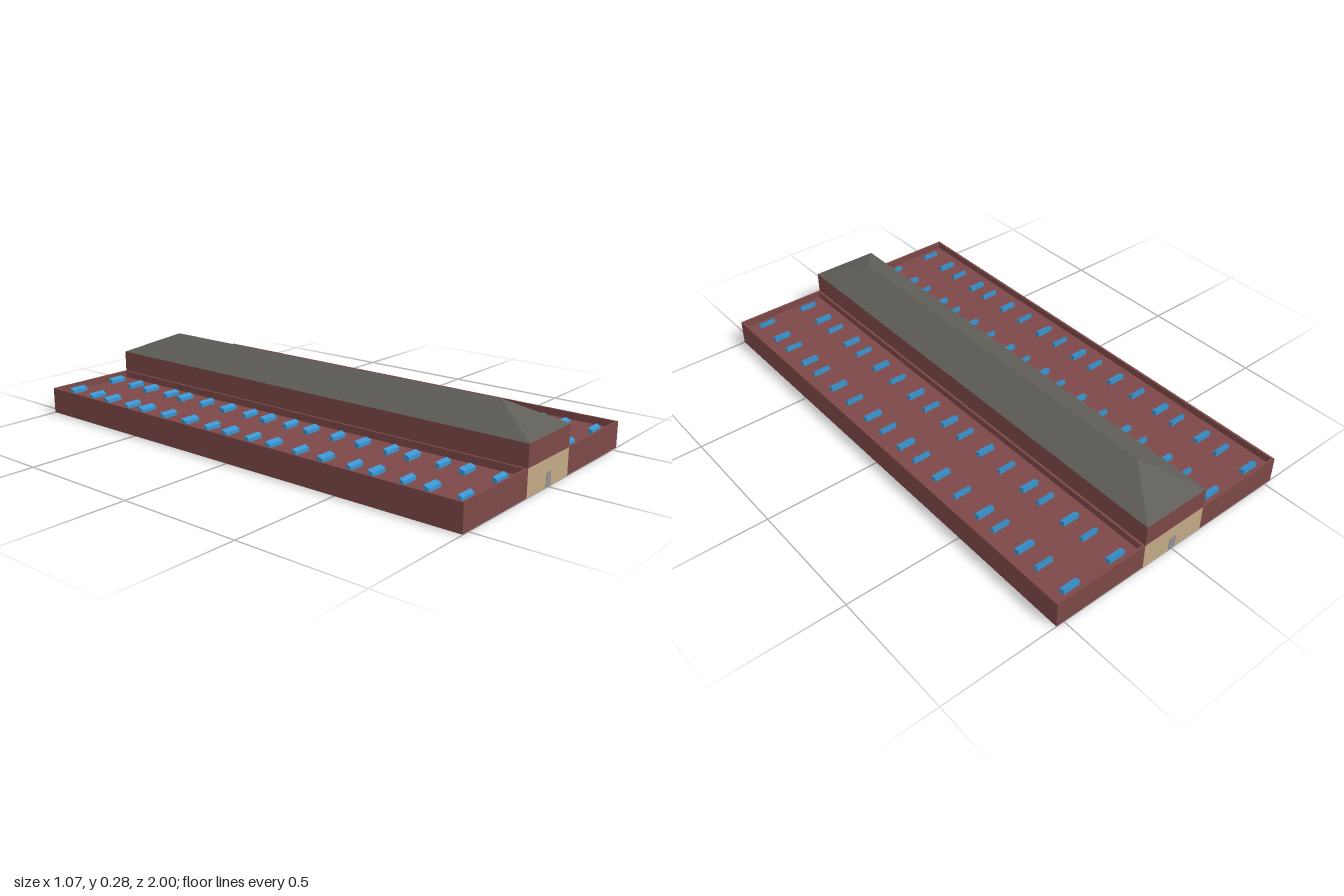
import * as THREE from 'three';

const mat = (name, color) => {
  const m = new THREE.MeshStandardMaterial({ color });
  m.name = name;
  return m;
};

export function createModel() {
  const brick = mat('brick red', 0x7d4848);
  const cream = mat('cream', 0xc2ab87);
  const slate = mat('slate grey', 0x605e58);
  const blue = mat('skylight blue', 0x3a94cf);
  const steel = mat('door grey', 0x929292);
  const pale = mat('pale grey', 0xb8b8b8);

  const model = new THREE.Group();
  model.name = 'longHall';

  // Box given by its minimum and maximum corners
  const box = (name, material, x0, x1, y0, y1, z0, z1, parent = model) => {
    const mesh = new THREE.Mesh(new THREE.BoxGeometry(x1 - x0, y1 - y0, z1 - z0), material);
    mesh.position.set((x0 + x1) / 2, (y0 + y1) / 2, (z0 + z1) / 2);
    mesh.name = name;
    parent.add(mesh);
    return mesh;
  };

  const L = -0.145, R = 0.14;           // hall sides
  const low = 0.105, eave = 0.19, ridge = 0.275;
  const deck = 0.077, rim = 0.009, wall = 0.017;

  // Central hall: cream ground storey, brick upper storey
  for (const [x0, x1] of [[L, L + wall], [R - wall, R]]) {
    box('lowerSideWall', cream, x0, x1, 0, low, -1, 1);
    box('upperSideWall', brick, x0, x1, low, eave, -1, 1);
  }
  for (const s of [-1, 1]) {
    const z0 = s > 0 ? 1 - wall : -1, z1 = z0 + wall;
    box('lowerEndWall', cream, L + wall, R - wall, 0, low, z0, z1);
    box('upperEndWall', brick, L + wall, R - wall, low, eave, z0, z1);
    box('door', steel, -0.016, 0.016, 0, 0.055, s * 0.999 - 0.002, s * 0.999 + 0.002);
  }

  // Hipped roof with a closed underside
  const A = [L, eave, 1], B = [R, eave, 1], C = [R, eave, -1], D = [L, eave, -1];
  const F = [0, ridge, 0.805], K = [0, ridge, -0.805];
  const faces = [A, B, F, C, D, K, B, C, K, B, K, F, D, A, F, D, F, K, A, D, C, A, C, B];
  const roofGeo = new THREE.BufferGeometry();
  roofGeo.setAttribute('position', new THREE.Float32BufferAttribute(faces.flat(), 3));
  roofGeo.computeVertexNormals();
  const roof = new THREE.Mesh(roofGeo, slate);
  roof.name = 'hippedRoof';
  model.add(roof);

  // Hall floor with pale pads and rails on its underside
  box('hallFloor', slate, L + wall, R - wall, 0.012, 0.02, -1 + wall, 1 - wall);
  for (const x of [-0.055, 0.055]) {
    box('floorRail', pale, x - 0.003, x + 0.003, 0.009, 0.013, -0.95, 0.95);
    for (const z of [-0.78, -0.4, -0.1, 0.36, 0.78])
      box('floorPad', pale, x - 0.025, x + 0.025, 0.003, 0.04, z - 0.03, z + 0.03);
  }

  // Skylight: a small box whose front top edge is lowered
  const skylightGeo = (depth) => {
    const g = new THREE.BoxGeometry(0.07, 0.022, depth).toNonIndexed();
    const p = g.attributes.position;
    for (let i = 0; i < p.count; i++)
      if (p.getY(i) > 0 && p.getZ(i) > 0) p.setY(i, p.getY(i) - 0.008);
    g.computeVertexNormals();
    return g;
  };
  const deepLight = skylightGeo(0.022), slimLight = skylightGeo(0.016);
  const rows = [-0.955, -0.83, -0.735, -0.61, -0.525, -0.4, -0.28, -0.16, -0.065,
    0.05, 0.15, 0.275, 0.39, 0.515, 0.605, 0.73, 0.825, 0.95];

  // Side wings: flat deck inside a raised rim, with two columns of skylights
  for (const s of [-1, 1]) {
    const wing = new THREE.Group();
    wing.name = s > 0 ? 'leftWing' : 'rightWing';
    model.add(wing);
    const x0 = s > 0 ? R : -0.533, x1 = s > 0 ? 0.533 : L;
    box('deck', brick, x0, x1, 0.001, deck, -1, 1, wing);
    box('rimSide', brick, x0, x0 + rim, deck, low, -1, 1, wing);
    box('rimSide', brick, x1 - rim, x1, deck, low, -1, 1, wing);
    box('rimEnd', brick, x0 + rim, x1 - rim, deck, low, 1 - rim, 1, wing);
    box('rimEnd', brick, x0 + rim, x1 - rim, deck, low, -1, -1 + rim, wing);
    for (const x of [0.235, 0.44]) {
      rows.forEach((z, i) => {
        const light = new THREE.Mesh(i % 2 ? slimLight : deepLight, blue);
        light.position.set(s * x, deck + 0.011, z);
        light.name = 'skylight';
        wing.add(light);
        // Slim glazing strip on the underside
        box('undersideStrip', blue, s * x - 0.025, s * x + 0.025, 0, 0.002, z - 0.003, z + 0.003, wing);
      });
    }
  }
  return model;
}
